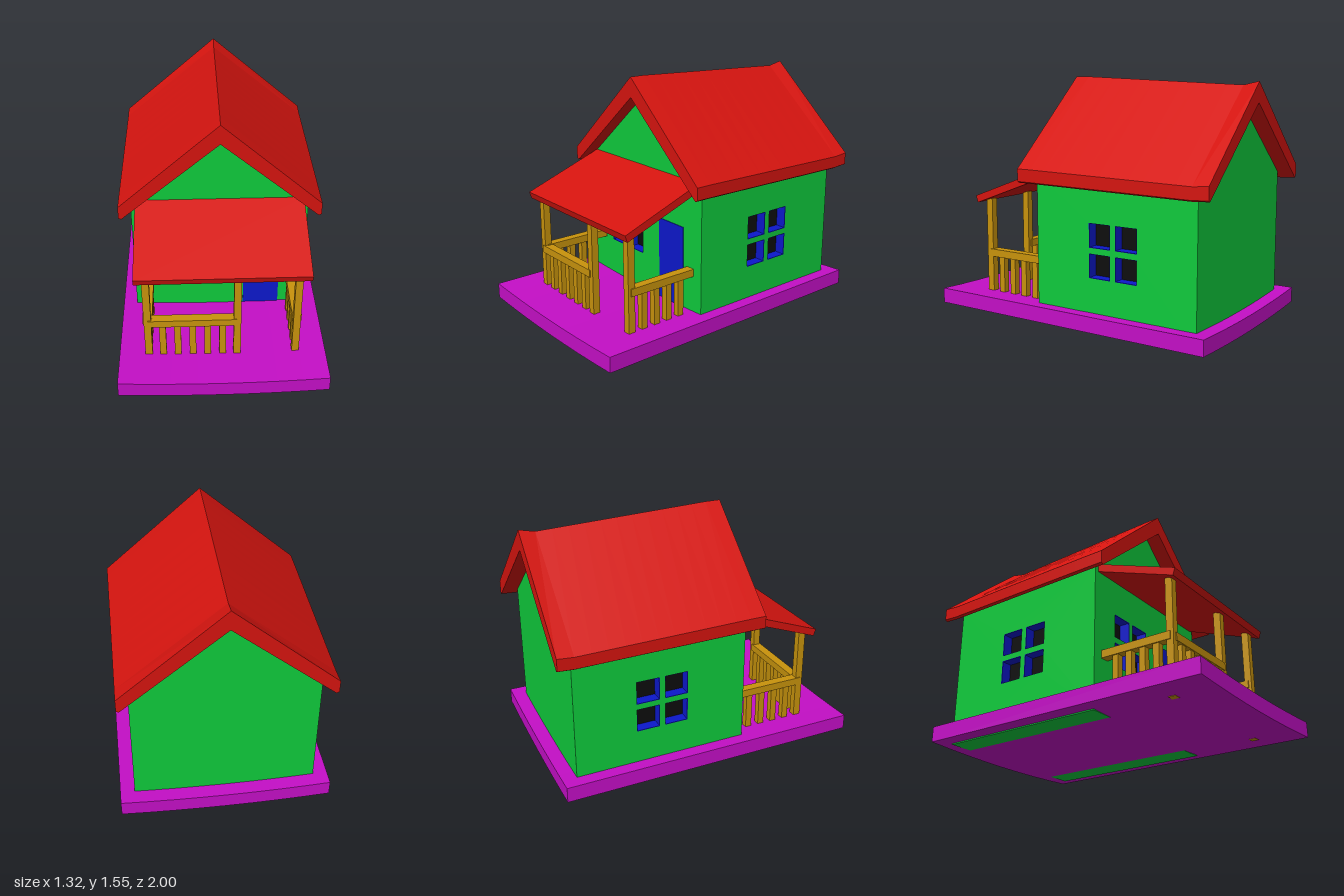
import * as THREE from 'three';

const paint = (color) => new THREE.MeshStandardMaterial({ color, flatShading: true });

export function createModel() {
  const house = new THREE.Group();
  const green = paint(0x0fcb3c), red = paint(0xd5140f), blue = paint(0x0c18cc);
  const black = paint(0x0d0d0d), wood = paint(0xc8930c), magenta = paint(0xc40fc6);

  function add(parent, name, geometry, material, x = 0, y = 0, z = 0) {
    const mesh = new THREE.Mesh(geometry, material);
    mesh.name = name;
    mesh.position.set(x, y, z);
    parent.add(mesh);
    return mesh;
  }
  const box = (parent, name, material, w, h, d, x, y, z) =>
    add(parent, name, new THREE.BoxGeometry(w, h, d), material, x, y, z);
  const polygon = (points) => new THREE.Shape(points.map(([x, y]) => new THREE.Vector2(x, y)));
  const rect = (x0, y0, x1, y1) => polygon([[x0, y0], [x1, y0], [x1, y1], [x0, y1]]);
  const extrude = (shape, depth, steps = 1) =>
    new THREE.ExtrudeGeometry(shape, { depth, steps, bevelEnabled: false });
  function moveVertices(geometry, rule) {
    const p = geometry.attributes.position, v = new THREE.Vector3();
    for (let i = 0; i < p.count; i++) {
      rule(v.fromBufferAttribute(p, i));
      p.setXYZ(i, v.x, v.y, v.z);
    }
    geometry.computeVertexNormals();
    return geometry;
  }

  // Four window openings around a centre, two columns by two rows
  function panes(cx, cy, inset = 0) {
    const holes = [], gap = 0.018 + inset, out = 0.172 - inset;
    for (const sx of [-1, 1]) for (const sy of [-1, 1]) {
      const xs = [sx * gap, sx * out].sort((a, b) => a - b);
      const ys = [sy * gap, sy * out].sort((a, b) => a - b);
      holes.push(rect(cx + xs[0], cy + ys[0], cx + xs[1], cy + ys[1]));
    }
    return holes;
  }

  // Wall in its own xy plane, with an optional recessed window
  function wall(name, outline, win) {
    const group = new THREE.Group();
    group.name = name;
    const shape = polygon(outline);
    if (win) {
      const [cx, cy] = win;
      shape.holes.push(...panes(cx, cy));
      const frame = rect(cx - 0.21, cy - 0.21, cx + 0.21, cy + 0.21);
      frame.holes.push(...panes(cx, cy, 0.003));
      add(group, 'windowFrame', extrude(frame, 0.07), blue, 0, 0, -0.072);
      box(group, 'windowPanes', black, 0.42, 0.42, 0.01, cx, cy, -0.077);
    }
    add(group, 'wallFace', new THREE.ShapeGeometry(shape), green);
    house.add(group);
    return group;
  }

  // Base slab, sagging gently towards the middle
  const slab = new THREE.BoxGeometry(1.32, 0.1, 1.99, 8, 1, 1);
  moveVertices(slab, (v) => { v.y -= 0.02 * (1 - (v.x / 0.66) ** 2); });
  add(house, 'base', slab, magenta, 0, 0.072, 0.003);

  // House body
  const W = 0.57, front = 0.24, back = -0.9, low = 0.01, eave = 0.96, peak = 1.43;
  const gable = [[-W, low], [W, low], [W, eave], [0, peak], [-W, eave]];
  wall('frontWall', gable, [-0.193, 0.522]).position.z = front;
  const rear = wall('backWall', gable);
  rear.position.z = back;
  rear.rotation.y = Math.PI;
  for (const s of [-1, 1]) {
    const end = [-s * front, -s * back].sort((a, b) => a - b);
    const side = wall(s > 0 ? 'leftWall' : 'rightWall',
      [[end[0], low], [end[1], low], [end[1], eave], [end[0], eave]], [s * 0.328, 0.508]);
    side.position.x = s * W;
    side.rotation.y = s * Math.PI / 2;
  }
  const floor = add(house, 'floor', new THREE.PlaneGeometry(2 * W, front - back), green,
    0, low, (front + back) / 2);
  floor.rotation.x = Math.PI / 2;
  box(house, 'door', blue, 0.24, 0.545, 0.02, 0.28, 0.38, front - 0.005);

  // Main roof, its ridge dipping towards the back
  const chevron = polygon([[0, 1.425], [0.625, 0.895], [0.642, 0.905], [0.642, 0.985],
    [0, 1.555], [-0.642, 0.985], [-0.642, 0.905], [-0.625, 0.895]]);
  const roof = extrude(chevron, 1.34, 13).translate(0, 0, -1);
  moveVertices(roof, (v) => {
    const dip = v.z > 0.24 ? 0 : v.z > -0.91 ? 0.045 * (0.24 - v.z) / 1.14 : 0.022;
    v.y -= dip * (0.3 + 0.7 * Math.max(0, (v.y - 0.9) / 0.65));
  });
  add(house, 'mainRoof', roof, red);

  // Porch roof: side profile (z, y) swept across the width
  const slope = polygon([[0.775, 0.72], [0.79, 0.765], [0.24, 0.97], [0.24, 0.918]]);
  const porchRoof = extrude(slope, 1.08).rotateY(-Math.PI / 2).translate(0.54, 0, 0);
  add(house, 'porchRoof', porchRoof, red);

  // Porch posts and railings
  const porch = new THREE.Group();
  porch.name = 'porch';
  house.add(porch);
  for (const x of [-0.472, 0.093, 0.468])
    box(porch, 'post', wood, 0.046, 0.735, 0.048, x, 0.3775, 0.715);
  const baluster = (x, z) => box(porch, 'baluster', wood, 0.042, 0.26, 0.042, x, 0.225, z);
  box(porch, 'frontRail', wood, 0.56, 0.05, 0.06, -0.19, 0.372, 0.715);
  for (let i = 0; i < 5; i++) baluster(-0.38 + i * 0.095, 0.715);
  for (const x of [-0.472, 0.468]) {
    box(porch, 'sideRail', wood, 0.06, 0.05, 0.48, x, 0.377, 0.48);
    for (let i = 0; i < 4; i++) baluster(x, 0.618 - i * 0.094);
  }

  return house;
}
